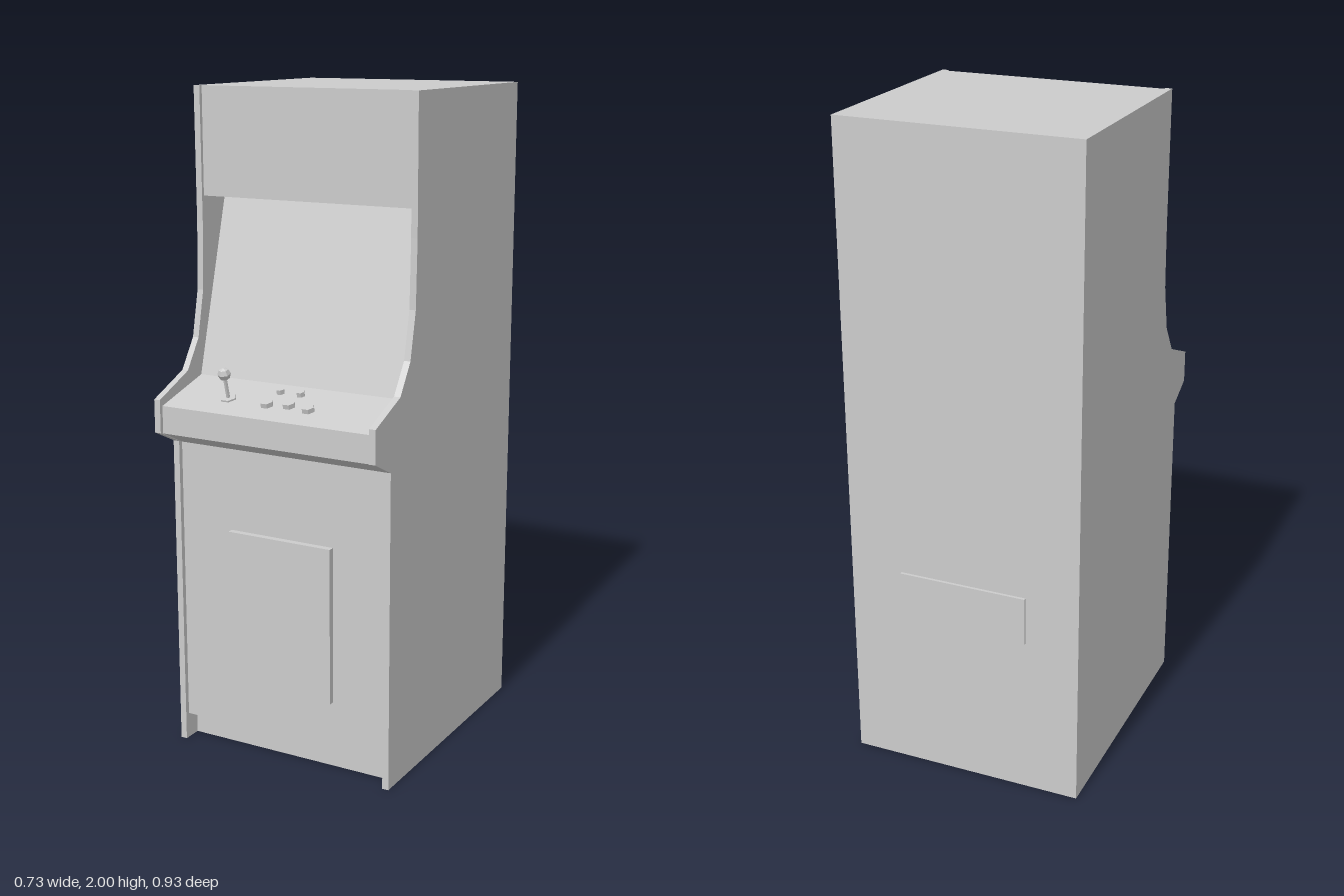
import * as THREE from 'three';

const W = 0.365, T = 0.02, BACK = -0.458, TOP = 2;

// Front edge of the side panels, as [z, y], bottom to top
const rim = [[0.375, 0], [0.375, 0.965], [0.467, 1.01], [0.467, 1.11], [0.32, 1.17],
  [0.26, 1.26], [0.23, 1.4], [0.224, 1.6], [0.227, TOP]];

// Recessed front: kick plate, door panel, control deck, screen, marquee
const fascia = [[0.315, 0], [0.315, 0.08], [0.36, 0.08], [0.36, 0.96], [0.455, 1.007],
  [0.455, 1.09], [0.25, 1.145], [0.1, 1.68], [0.215, 1.68], [0.215, TOP]];

// Flat strips across the cabinet following a [z, y] path
function ribbon(path, w) {
  const pos = [];
  for (let i = 0; i < path.length - 1; i++) {
    const [z0, y0] = path[i], [z1, y1] = path[i + 1];
    pos.push(-w, y0, z0, w, y0, z0, w, y1, z1, -w, y0, z0, w, y1, z1, -w, y1, z1);
  }
  const g = new THREE.BufferGeometry();
  g.setAttribute('position', new THREE.Float32BufferAttribute(pos, 3));
  g.computeVertexNormals();
  return g;
}

const toShape = (pts) => new THREE.Shape(pts.map(([z, y]) => new THREE.Vector2(z, y)));

export function createModel() {
  const group = new THREE.Group();
  group.name = 'arcadeCabinet';
  const grey = new THREE.MeshStandardMaterial({ color: 0xcccccc, side: THREE.DoubleSide, flatShading: true });
  grey.name = 'grey';

  const add = (name, geometry, x = 0, y = 0, z = 0, parent = group) => {
    const mesh = new THREE.Mesh(geometry, grey);
    mesh.name = name;
    mesh.position.set(x, y, z);
    parent.add(mesh);
    return mesh;
  };

  // Hollow body, open underneath
  add('backAndTop', ribbon([[0.215, TOP], [BACK, TOP], [BACK, 0]], W));
  const parts = [['kickPlate', 0, 2], ['frontPanel', 2, 3], ['controlDeck', 3, 6],
    ['screen', 6, 7], ['marquee', 7, 9]];
  for (const [name, from, to] of parts) add(name, ribbon(fascia.slice(from, to + 1), W - T));

  // Sides: thin sheet behind the fascia, thick rim in front of it
  const sheet = new THREE.ShapeGeometry(toShape([[BACK, 0], ...fascia, [BACK, TOP]])).rotateY(-Math.PI / 2);
  const edge = new THREE.ExtrudeGeometry(toShape([...rim, ...[...fascia].reverse()]),
    { depth: T, bevelEnabled: false }).rotateY(-Math.PI / 2);
  for (const [side, x, rimX] of [['left', W, W], ['right', -W, T - W]]) {
    add(side + 'Side', sheet, x);
    add(side + 'Rim', edge, rimX);
  }

  // Raised door and rear plate
  add('coinDoor', new THREE.BoxGeometry(0.345, 0.48, 0.02), 0, 0.47, 0.37);
  add('rearPlate', new THREE.BoxGeometry(0.4, 0.15, 0.009), 0, 0.575, BACK - 0.0045);

  // Controls stand square to the sloping deck
  const slope = Math.atan2(0.055, 0.205);
  const controlAt = (name, x, z) => {
    const g = new THREE.Group();
    g.name = name;
    g.position.set(x, 1.145 - (z - 0.25) * Math.tan(slope), z);
    g.rotation.x = slope;
    group.add(g);
    return g;
  };
  const hex = (r, h) => new THREE.CylinderGeometry(r, r, h, 6, 1, false, Math.PI / 6);

  const buttons = [[-0.035, 0.376, 0.02], [0.033, 0.366, 0.02], [0.102, 0.376, 0.02],
    [-0.035, 0.299, 0.013], [0.033, 0.299, 0.013]];
  for (const [x, z, r] of buttons) add('buttonCap', hex(r, 0.016), 0, 0.006, 0, controlAt('button', x, z));

  const stick = controlAt('joystick', -0.172, 0.367);
  add('joystickBase', hex(0.025, 0.006), 0, 0.002, 0, stick);
  add('joystickShaft', hex(0.006, 0.07), 0, 0.035, 0, stick);
  add('joystickBall', new THREE.SphereGeometry(0.02, 6, 4).rotateY(Math.PI / 6), 0, 0.08, 0, stick);

  return group;
}
